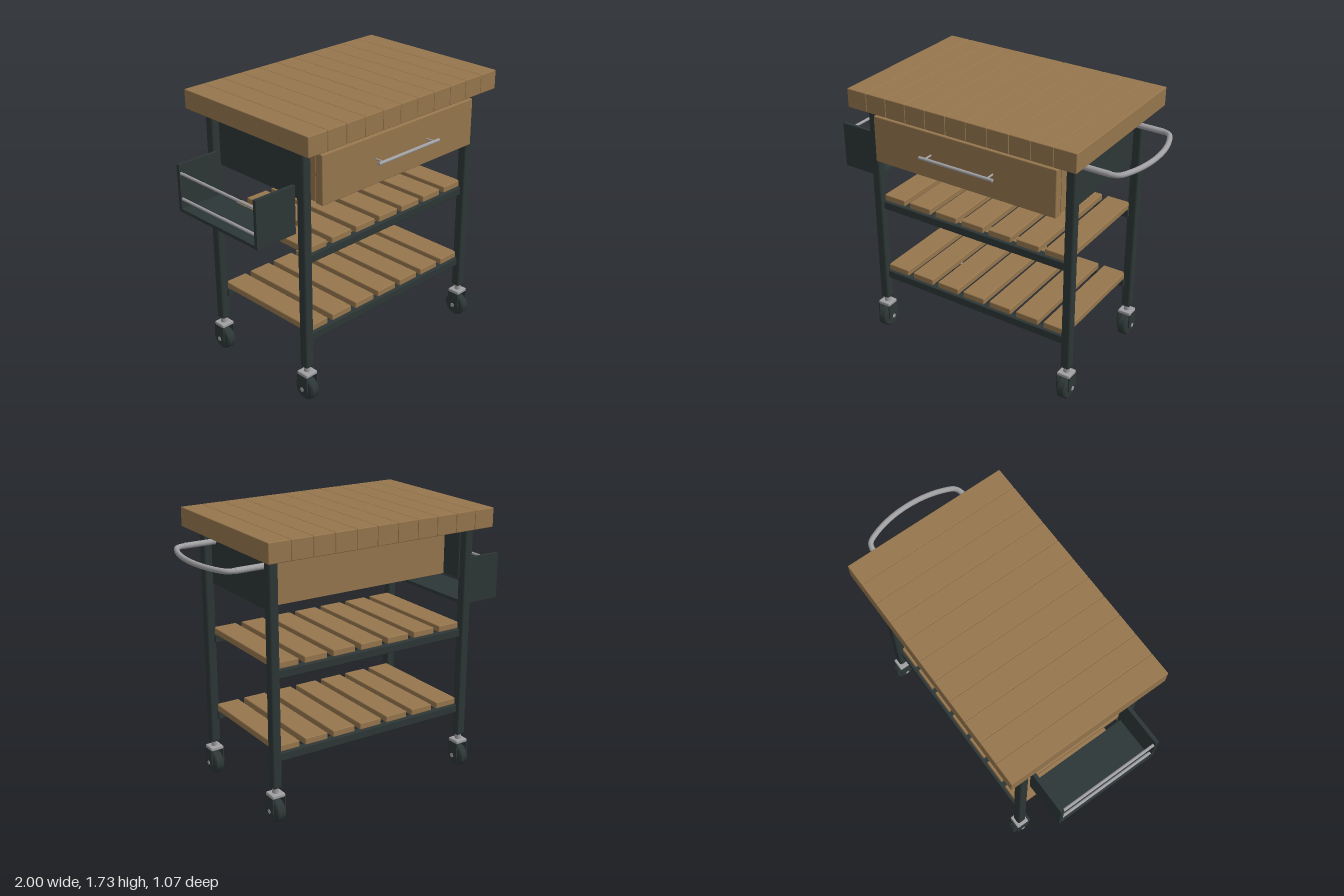
import * as THREE from 'three';
import { RoundedBoxGeometry } from 'three/addons/geometries/RoundedBoxGeometry.js';

const material = (name, color) => {
  const m = new THREE.MeshStandardMaterial({ color });
  m.name = name;
  return m;
};

export function createModel() {
  const wood = material('wood', 0x96764d);
  const steel = material('dark painted steel', 0x2d3636);
  const metal = material('brushed metal', 0xa0a0a3);

  const cart = new THREE.Group();
  cart.name = 'kitchenCart';

  const group = (name, parent = cart) => {
    const g = new THREE.Group();
    g.name = name;
    parent.add(g);
    return g;
  };
  const add = (parent, name, geometry, mat) => {
    const m = new THREE.Mesh(geometry, mat);
    m.name = name;
    parent.add(m);
    return m;
  };
  // Box given by its extents, with softened edges when radius > 0
  const box = (parent, name, mat, [x0, x1], [y0, y1], [z0, z1], radius = 0) => {
    const size = [x1 - x0, y1 - y0, z1 - z0];
    const geometry = radius
      ? new RoundedBoxGeometry(...size, 2, radius)
      : new THREE.BoxGeometry(...size);
    const m = add(parent, name, geometry, mat);
    m.position.set((x0 + x1) / 2, (y0 + y1) / 2, (z0 + z1) / 2);
    return m;
  };
  // Round bar between two points
  const rod = (parent, name, mat, a, b, r, sides = 16) => {
    const from = new THREE.Vector3(...a), to = new THREE.Vector3(...b);
    const dir = to.clone().sub(from);
    const m = add(parent, name, new THREE.CylinderGeometry(r, r, dir.length(), sides), mat);
    m.position.copy(from).add(to).multiplyScalar(0.5);
    m.quaternion.setFromUnitVectors(new THREE.Vector3(0, 1, 0), dir.normalize());
    return m;
  };

  const legX = [-0.695, 0.68];
  const legZ = [0.38, -0.397];

  // Butcher block top
  const top = group('top');
  const plankWidth = 1.555 / 11;
  for (let i = 0; i < 11; i++) {
    const x = -0.782 + i * plankWidth;
    box(top, 'topPlank', wood, [x, x + plankWidth], [1.61, 1.73], [-0.535, 0.515], 0.005);
  }

  // Legs and swivel casters
  for (const x of legX) for (const z of legZ) {
    box(cart, 'leg', steel, [x - 0.03, x + 0.03], [0.22, 1.615], [z - 0.03, z + 0.03], 0.013);

    const caster = group('caster');
    caster.position.set(x, 0, z);
    rod(caster, 'stem', metal, [0, 0.18, 0], [0, 0.225, 0], 0.02);
    box(caster, 'forkPlate', metal, [-0.043, 0.043], [0.165, 0.188], [-0.042, 0.042], 0.006);
    for (const s of [-1, 1]) {
      box(caster, 'forkArm', steel, [s * 0.041 - 0.004, s * 0.041 + 0.004], [0.07, 0.168], [-0.042, 0.042]);
    }
    rod(caster, 'axle', metal, [-0.048, 0.074, 0], [0.048, 0.074, 0], 0.014);
    const profile = [[0, -0.03], [0.064, -0.03], [0.074, -0.021], [0.074, 0.021], [0.064, 0.03], [0, 0.03]]
      .flatMap(([r, h], i) => {
        const p = new THREE.Vector2(r, h);
        return i > 0 && i < 5 ? [p, p.clone()] : [p];
      });
    const wheel = add(caster, 'wheel', new THREE.LatheGeometry(profile, 32), steel);
    wheel.rotation.z = Math.PI / 2;
    wheel.position.y = 0.074;
  }

  // Two slatted shelves on front and back rails
  for (const y of [0.43, 0.945]) {
    const shelf = group('shelf');
    for (let i = 0; i < 7; i++) {
      const x = -0.593 + i * 0.1957;
      box(shelf, 'slat', wood, [x - 0.078, x + 0.078], [y, y + 0.042], [-0.385, 0.37], 0.006);
    }
    for (const [z0, z1] of [[0.335, 0.385], [-0.402, -0.352]]) {
      box(shelf, 'rail', steel, [-0.68, 0.665], [y - 0.053, y], [z0, z1], 0.006);
    }
  }

  // Side panels between the legs
  for (const x of [-0.665, 0.65]) {
    box(cart, 'sidePanel', steel, [x - 0.008, x + 0.008], [1.275, 1.57], [-0.38, 0.36]);
  }

  // Drawer
  const drawer = group('drawer');
  box(drawer, 'drawerFront', wood, [-0.637, 0.625], [1.27, 1.57], [0.41, 0.465], 0.006);
  box(drawer, 'drawerBack', wood, [-0.637, 0.625], [1.28, 1.565], [-0.26, -0.235]);
  box(drawer, 'drawerBottom', wood, [-0.637, 0.625], [1.28, 1.3], [-0.235, 0.41]);
  for (const x of [-0.637, 0.605]) {
    box(drawer, 'drawerSide', wood, [x, x + 0.02], [1.3, 1.565], [-0.235, 0.41]);
  }
  rod(drawer, 'drawerPull', metal, [-0.26, 1.425, 0.525], [0.25, 1.425, 0.525], 0.01);
  for (const x of [-0.22, 0.21]) {
    rod(drawer, 'pullPost', metal, [x, 1.425, 0.46], [x, 1.425, 0.525], 0.006);
  }

  // Curved push handle on the left end
  const bow = new THREE.CatmullRomCurve3([
    [0.65, 0.305], [0.78, 0.305], [0.87, 0.305], [0.91, 0.288], [0.945, 0.22], [0.974, 0.11], [0.984, -0.0125],
    [0.974, -0.135], [0.945, -0.245], [0.91, -0.313], [0.87, -0.33], [0.78, -0.33], [0.65, -0.33],
  ].map(([x, z]) => new THREE.Vector3(x, 1.545, z)));
  add(cart, 'pushHandle', new THREE.TubeGeometry(bow, 80, 0.016, 14), metal);
  for (const z of [0.305, -0.33]) {
    rod(cart, 'handleSocket', metal, [0.65, 1.545, z], [0.865, 1.545, z], 0.018);
  }

  // Open bottle bin on the right end
  const bin = group('bin');
  for (const z of [0.324, -0.343]) {
    box(bin, 'binEnd', steel, [-1, -0.72], [1.085, 1.38], [z - 0.011, z + 0.011]);
  }
  box(bin, 'binFloor', steel, [-1, -0.72], [1.085, 1.105], [-0.333, 0.314]);
  for (const y of [1.165, 1.325]) {
    rod(bin, 'binBar', metal, [-0.988, y, -0.335], [-0.988, y, 0.316], 0.009);
  }

  return cart;
}
